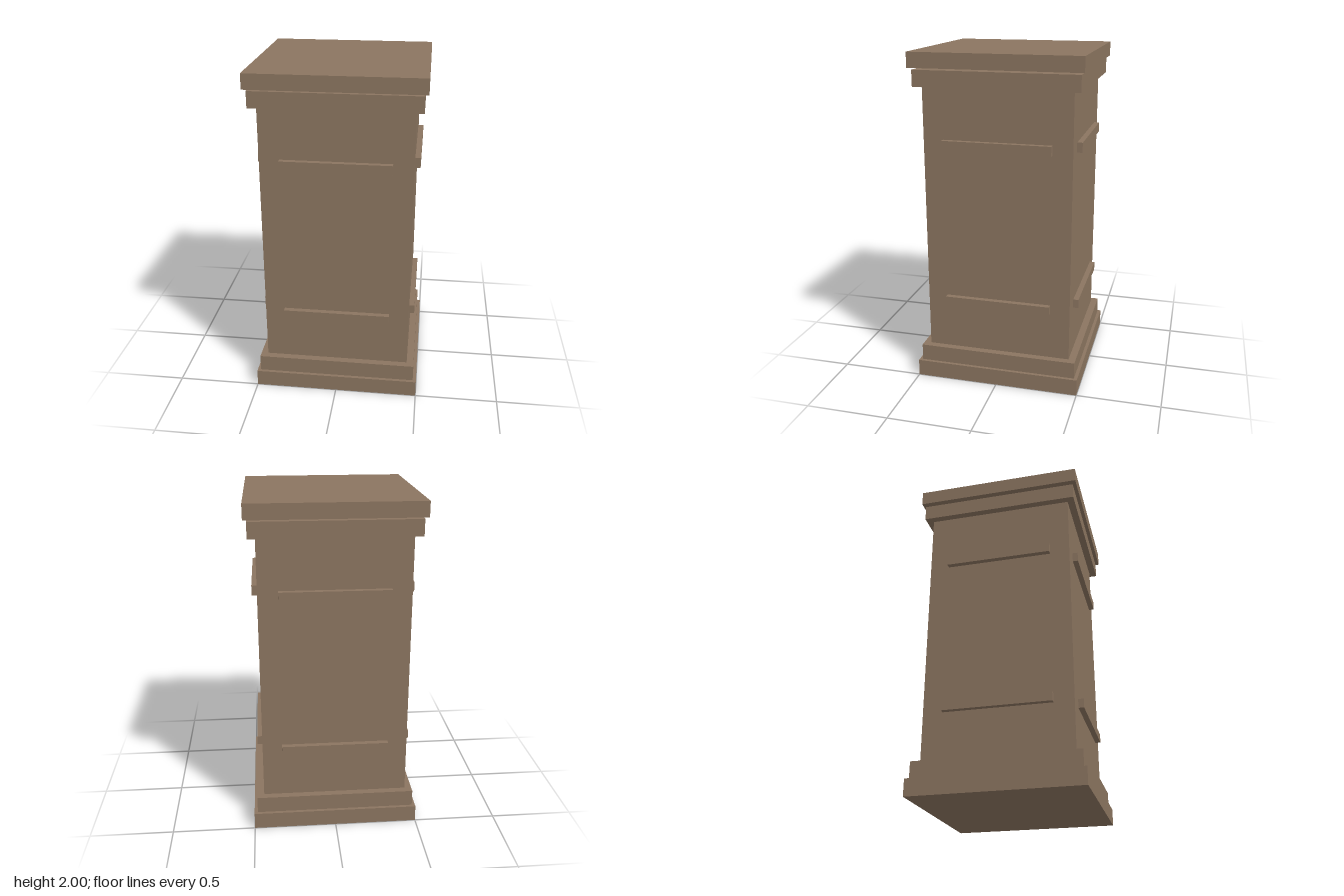
import * as THREE from 'three';

export function createModel() {
  const group = new THREE.Group();
  const stone = new THREE.MeshStandardMaterial({ color: 0x8b7560 });
  stone.name = 'brown stone';

  // Box spanning y0..y1, centred on x and z unless moved
  function block(name, width, y0, y1, depth = width, parent = group) {
    const mesh = new THREE.Mesh(new THREE.BoxGeometry(width, y1 - y0, depth), stone);
    mesh.name = name;
    mesh.position.y = (y0 + y1) / 2;
    parent.add(mesh);
    return mesh;
  }

  // Stepped base, shaft and stepped capital; the cap slab sits just clear of its step
  block('basePlinth', 1, 0, 0.1);
  block('baseStep', 0.96, 0.1, 0.2);
  block('shaft', 0.875, 0.2, 1.805);
  block('capitalStep', 0.96, 1.805, 1.9);
  block('capSlab', 1, 1.912, 2);

  // Two raised trim bars on each of the four sides
  for (let i = 0; i < 4; i++) {
    const side = new THREE.Group();
    side.name = 'trimSide' + (i + 1);
    side.rotation.y = (i * Math.PI) / 2;
    block('lowerTrimBar', 0.64, 0.487, 0.54, 0.035, side).position.z = 0.452;
    block('upperTrimBar', 0.64, 1.445, 1.503, 0.035, side).position.z = 0.452;
    group.add(side);
  }
  return group;
}
